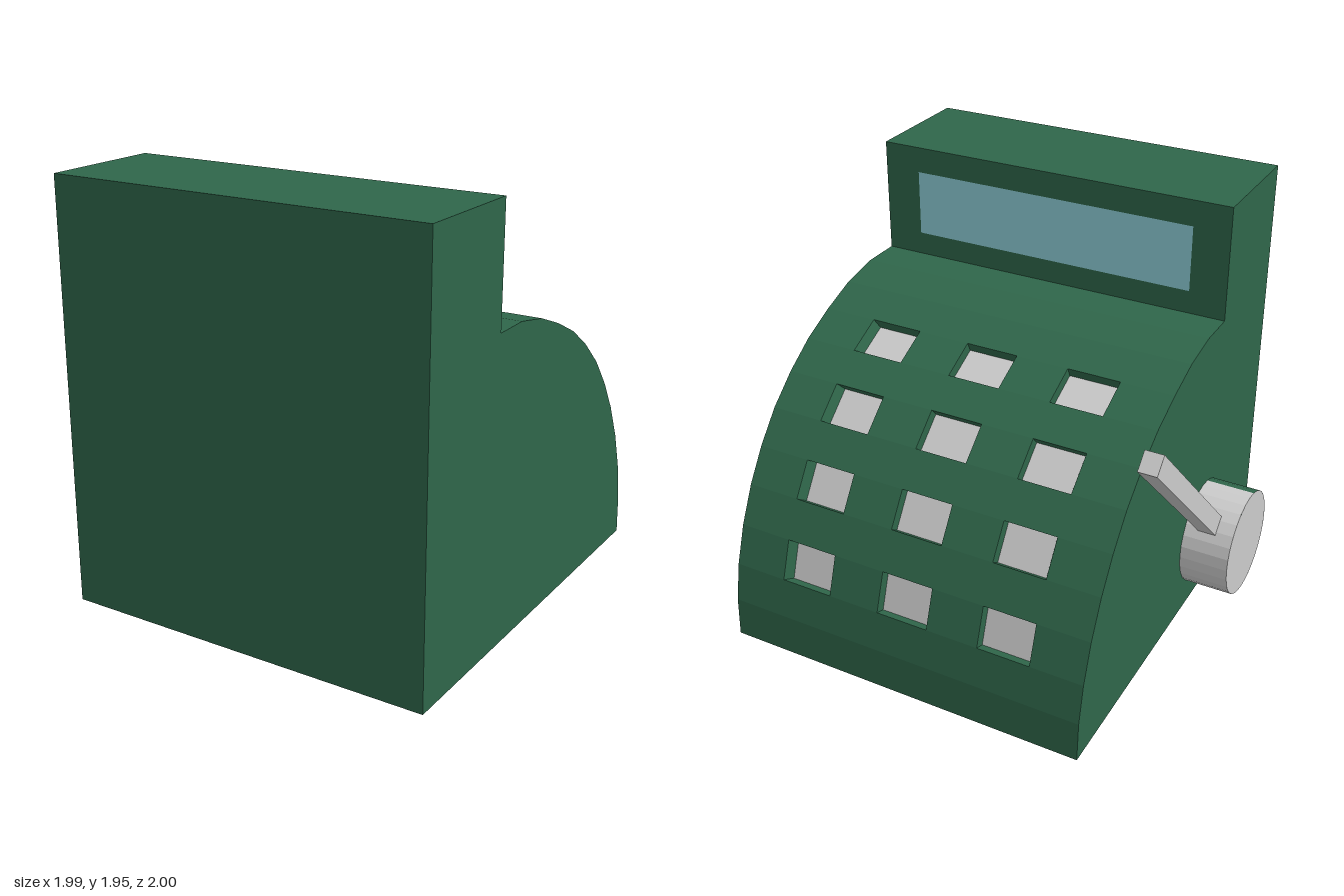
import * as THREE from 'three';

const GREEN = 0x2f664a, GREY = 0xcccccc, GLASS = 0x8fd0da;
const X0 = -0.765, X1 = 0.99;

const material = (color) =>
  new THREE.MeshStandardMaterial({ color, flatShading: true, side: THREE.DoubleSide });

function addMesh(parent, name, geometry, mat) {
  const mesh = new THREE.Mesh(geometry, mat);
  mesh.name = name;
  parent.add(mesh);
  return mesh;
}

// Collects four-cornered faces into one geometry
class Faces {
  constructor() { this.positions = []; }
  quad(a, b, c, d) { this.positions.push(...a, ...b, ...c, ...a, ...c, ...d); }
  // Strip between profile points p and q, from x = a to x = b
  strip(p, q, a, b) {
    this.quad([a, p[1], p[0]], [b, p[1], p[0]], [b, q[1], q[0]], [a, q[1], q[0]]);
  }
  geometry() {
    const g = new THREE.BufferGeometry();
    g.setAttribute('position', new THREE.Float32BufferAttribute(this.positions, 3));
    g.computeVertexNormals();
    return g;
  }
}

export function createModel() {
  const model = new THREE.Group();
  model.name = 'cashRegister';
  const green = material(GREEN), grey = material(GREY), glass = material(GLASS);

  // Side profile as [z, y]: tall display block, then the curved key panel
  const profile = [
    [1, 0.015], [1, 1.95], [0.43, 1.95], [0.43, 1.41],
    [0.24, 1.41], [0.05, 1.375], [-0.125, 1.31], [-0.295, 1.23], [-0.445, 1.13],
    [-0.585, 1.01], [-0.705, 0.87], [-0.805, 0.72], [-0.89, 0.55], [-0.953, 0.37],
    [-0.99, 0.19], [-1, 0],
  ];
  const keyRows = [6, 8, 10, 12];
  // Each column: opening from/to, then the floor from/to
  const keyColumns = [
    [-0.515, -0.265, -0.495, -0.265],
    [-0.015, 0.235, -0.015, 0.235],
    [0.485, 0.735, 0.485, 0.715],
  ];
  const depth = 0.05;

  const shell = new Faces(), keys = new Faces();
  profile.forEach((p, i) => {
    const q = profile[(i + 1) % profile.length];
    if (!keyRows.includes(i)) {
      shell.strip(p, q, X0, X1);
      return;
    }
    // Facet with three sunken keys
    const dz = q[0] - p[0], dy = q[1] - p[1], len = Math.hypot(dz, dy);
    const sink = ([z, y]) => [z - (dy / len) * depth, y + (dz / len) * depth];
    const ps = sink(p), qs = sink(q);
    let x = X0;
    for (const [a, b, fa, fb] of keyColumns) {
      shell.strip(p, q, x, a);
      keys.strip(ps, qs, fa, fb);
      const at = (px, [z, y]) => [px, y, z];
      shell.quad(at(a, p), at(b, p), at(fb, ps), at(fa, ps));
      shell.quad(at(fa, qs), at(fb, qs), at(b, q), at(a, q));
      shell.quad(at(a, p), at(fa, ps), at(fa, qs), at(a, q));
      shell.quad(at(fb, ps), at(b, p), at(b, q), at(fb, qs));
      x = b;
    }
    shell.strip(p, q, x, X1);
  });
  addMesh(model, 'bodyShell', shell.geometry(), green);
  addMesh(model, 'keys', keys.geometry(), grey);

  // Flat side walls
  const outline = new THREE.Shape(profile.map(([z, y]) => new THREE.Vector2(z, y)));
  for (const [name, x] of [['rightWall', X0], ['leftWall', X1]]) {
    const wall = new THREE.ShapeGeometry(outline).rotateY(-Math.PI / 2);
    addMesh(model, name, wall, green).position.x = x;
  }

  // Display window above the keys
  const screen = addMesh(model, 'displayWindow',
    new THREE.PlaneGeometry(1.4, 0.31).rotateY(Math.PI), glass);
  screen.position.set(0.11, 1.675, 0.426);

  // Crank hub: green rim on one half, grey on the other, grey cap
  const crank = new THREE.Group();
  crank.name = 'crank';
  crank.position.set(0, 0.35, 0.32);
  model.add(crank);
  const split = THREE.MathUtils.degToRad(78.75);
  const rim = (start, sweep) =>
    new THREE.CylinderGeometry(0.253, 0.253, 0.23, 16, 1, true, start, sweep).rotateZ(Math.PI / 2);
  addMesh(crank, 'hubRimGreen', rim(-split, 2 * split), green).position.x = -0.88;
  addMesh(crank, 'hubRimGrey', rim(split, 2 * (Math.PI - split)), grey).position.x = -0.88;
  addMesh(crank, 'hubCap', new THREE.CircleGeometry(0.253, 32).rotateY(-Math.PI / 2), grey)
    .position.x = -0.995;

  // Slanted crank handle
  const handle = new THREE.BoxGeometry(0.085, 1.16, 0.093).translate(0, 0.74, 0).rotateX(-Math.PI / 4);
  addMesh(crank, 'crankHandle', handle, grey).position.x = -0.87;

  return model;
}
